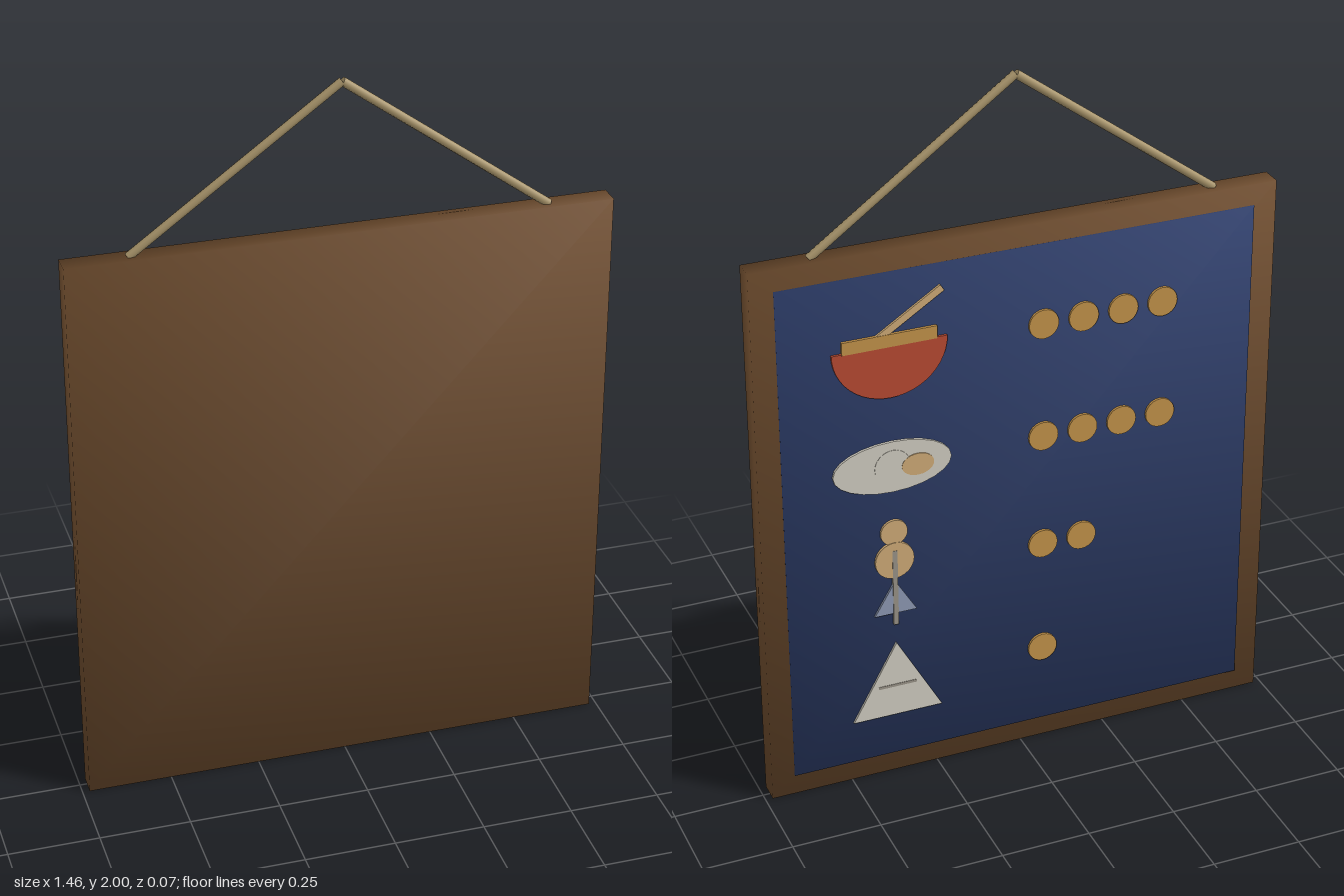
import * as THREE from 'three';
import { mergeVertices } from 'three/addons/utils/BufferGeometryUtils.js';

const mat = (name, color) => new THREE.MeshStandardMaterial({ name, color });

export function createModel() {
  const group = new THREE.Group();
  const wood = mat('brown wood', 0x6b4a2c);
  const navy = mat('navy panel', 0x2c3c68);
  const cord = mat('tan cord', 0xa8946a);
  const gold = mat('gold', 0xc4944a);
  const red = mat('red bowl', 0xb84a32);
  const white = mat('off white', 0xd2cec2);
  const peach = mat('peach', 0xd0ac78);
  const slate = mat('slate blue', 0x8e9ab4);
  const grey = mat('warm grey', 0x9a9488);

  const add = (name, geometry, material, x, y, z) => {
    const m = new THREE.Mesh(geometry, material);
    m.name = name;
    m.position.set(x, y, z);
    group.add(m);
    return m;
  };

  // Box with shared corners, shaded smoothly across its edges
  const softBox = (w, h, d) => {
    let g = new THREE.BoxGeometry(w, h, d);
    g.deleteAttribute('normal');
    g.deleteAttribute('uv');
    g = mergeVertices(g);
    const p = g.attributes.position;
    const n = [];
    for (let i = 0; i < p.count; i++) {
      n.push(...new THREE.Vector3(Math.sign(p.getX(i)), Math.sign(p.getY(i)), Math.sign(p.getZ(i))).normalize().toArray());
    }
    g.setAttribute('normal', new THREE.Float32BufferAttribute(n, 3));
    return g;
  };

  // Board and writing panel
  add('board', softBox(1.46, 1.585, 0.06), wood, 0, 0.7925, 0.005);
  add('panel', softBox(1.33, 1.465, 0.01), navy, 0, 0.7925, -0.024);

  // Hanging cord
  for (const s of [-1, 1]) {
    const a = new THREE.Vector3(s * 0.56, 1.583, 0.007);
    const b = new THREE.Vector3(0, 1.989, 0.007);
    const dir = b.clone().sub(a);
    const c = a.clone().add(b).multiplyScalar(0.5);
    add('hangingCord', new THREE.CylinderGeometry(0.012, 0.012, dir.length(), 8), cord, c.x, c.y, c.z)
      .quaternion.setFromUnitVectors(new THREE.Vector3(0, 1, 0), dir.normalize());
  }

  // Thin relief plates on the panel; a higher layer stands further out
  const plate = (name, shape, material, x, y, layer = 0) =>
    add(name, new THREE.ExtrudeGeometry(shape, { depth: 0.008, bevelEnabled: false, curveSegments: 24 }),
      material, x, y, -0.036 - layer * 0.0012);
  const oval = (rx, ry = rx, from = 0, to = Math.PI * 2) =>
    new THREE.Shape(new THREE.EllipseCurve(0, 0, rx, ry, from, to).getPoints(24));
  const poly = (...pts) => new THREE.Shape(pts.map(([x, y]) => new THREE.Vector2(x, y)));
  const bar = (w, h) => poly([-w / 2, -h / 2], [w / 2, -h / 2], [w / 2, h / 2], [-w / 2, h / 2]);
  const cx = 0.365;

  // Bowl with noodles and a chopstick
  plate('bowl', oval(0.158, 0.15, Math.PI, Math.PI * 2), red, cx, 1.32);
  plate('noodles', bar(0.26, 0.036), gold, cx, 1.335, 1);
  plate('chopstick', bar(0.215, 0.02), peach, 0.31, 1.4).rotation.z = -0.57;

  // Plate of food
  plate('dish', oval(0.165, 0.075), white, cx, 0.965);
  plate('dishPortion', oval(0.05), white, cx, 0.965, 1);
  plate('dishGarnish', oval(0.045, 0.032), peach, 0.295, 0.96, 2);

  // Skewer
  plate('skewerTop', oval(0.038), peach, cx, 0.765);
  plate('skewerMiddle', oval(0.055), peach, cx, 0.68, 1);
  plate('skewerBase', poly([-0.06, -0.045], [0.06, -0.045], [0, 0.055]), slate, cx, 0.56);
  plate('skewerStick', bar(0.014, 0.23), grey, cx, 0.595, 2);

  // Rice triangle
  plate('riceTriangle', poly([-0.128, -0.115], [0.128, -0.115], [0, 0.115]), white, cx, 0.305);
  plate('riceBand', bar(0.11, 0.008), grey, cx, 0.285, 1);

  // Rows of price coins
  [4, 4, 2, 1].forEach((count, row) => {
    for (let i = 0; i < count; i++) {
      plate('coin', oval(0.042), gold, -0.0625 - i * 0.1133, 1.297 - row * 0.333);
    }
  });
  return group;
}
